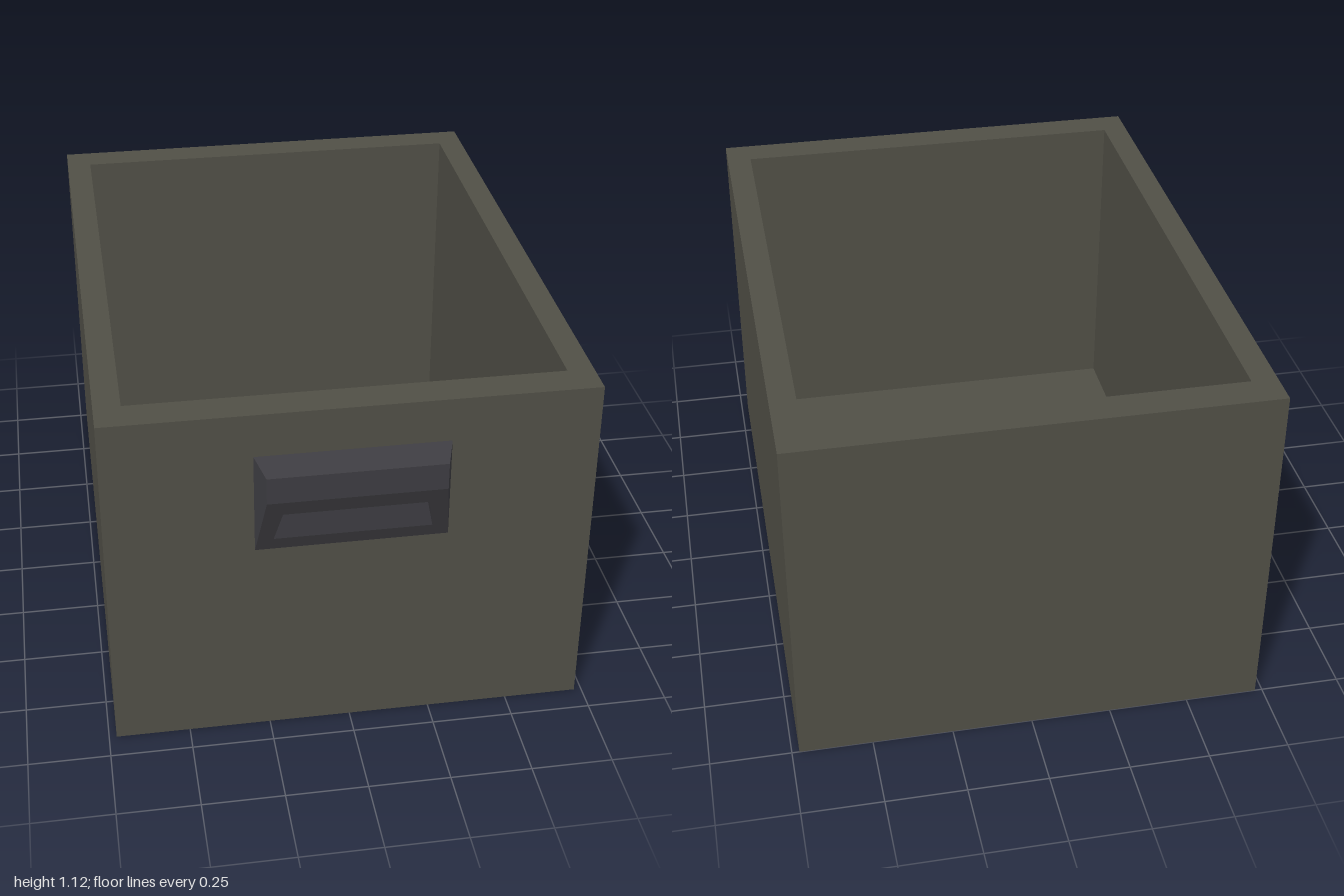
import * as THREE from 'three';

// Flat-sided geometry from four-cornered faces (anticlockwise from outside).
function facesToGeometry(faces) {
  const pos = [];
  const v = (p) => new THREE.Vector3(...p);
  for (const [a, b, c, d] of faces) {
    for (const tri of [[a, b, c], [a, c, d]]) {
      const area = new THREE.Triangle(...tri.map(v)).getArea();
      if (area > 1e-7) pos.push(...tri.flat());
    }
  }
  const g = new THREE.BufferGeometry();
  g.setAttribute('position', new THREE.Float32BufferAttribute(pos, 3));
  g.computeVertexNormals();
  return g;
}

// Joins successive four-cornered loops with side faces.
function loft(loops) {
  const faces = [];
  for (let i = 0; i + 1 < loops.length; i++) {
    for (let j = 0; j < 4; j++) {
      const k = (j + 1) % 4;
      faces.push([loops[i][j], loops[i][k], loops[i + 1][k], loops[i + 1][j]]);
    }
  }
  return faces;
}

// Horizontal rectangle, anticlockwise from above.
const flatRect = (x, y, back, front) => [[-x, y, front], [x, y, front], [x, y, back], [-x, y, back]];

// Symmetric trapezoid facing the front, given its lower and upper edge as [half width, y, z].
const frontQuad = ([x0, y0, z0], [x1, y1, z1]) => [[-x0, y0, z0], [x0, y0, z0], [x1, y1, z1], [-x1, y1, z1]];

export function createModel() {
  const model = new THREE.Group();
  model.name = 'storageBin';

  const binColour = new THREE.MeshStandardMaterial({ color: 0x504f46 });
  binColour.name = 'olive grey';
  const handleColour = new THREE.MeshStandardMaterial({ color: 0x3d3c41 });
  handleColour.name = 'charcoal';

  const add = (name, faces, material) => {
    const mesh = new THREE.Mesh(facesToGeometry(faces), material);
    mesh.name = name;
    model.add(mesh);
  };

  // Open bin: outer walls, rim, inner walls, then underside and floor
  const zFront = 0.917;
  const bin = [
    flatRect(0.727, 0, -1, zFront),
    flatRect(0.727, 1.12, -1, zFront),
    flatRect(0.647, 1.12, -0.895, 0.81),
    flatRect(0.647, 0.08, -0.895, 0.81),
  ];
  add('bin', [...loft(bin), [...bin[0]].reverse(), bin[3]], binColour);

  // Handle edges, from the bottom up
  const bottom = [0.288, 0.659, zFront];
  const lip = [0.262, 0.873, 1];
  const brow = [0.262, 0.958, 1];
  const top = [0.288, 0.982, zFront];
  const side = [bottom, top, brow, lip];

  // Finger pocket cut into the sloping underside of the handle
  const slopeZ = (y) => THREE.MathUtils.mapLinear(y, bottom[1], lip[1], zFront, 1);
  const low = [0.235, 0.706, slopeZ(0.706)];
  const high = [0.213, 0.819, slopeZ(0.819)];
  const pocketTop = [0.2177, 0.795, low[2]];
  const pocket = frontQuad(low, pocketTop);

  add('handle', [
    frontQuad(lip, brow),
    frontQuad(brow, top),
    side.map(([x, y, z]) => [x, y, z]),
    side.map(([x, y, z]) => [-x, y, z]).reverse(),
    ...loft([frontQuad(bottom, lip), frontQuad(low, high), pocket]),
    pocket,
  ], handleColour);

  return model;
}
